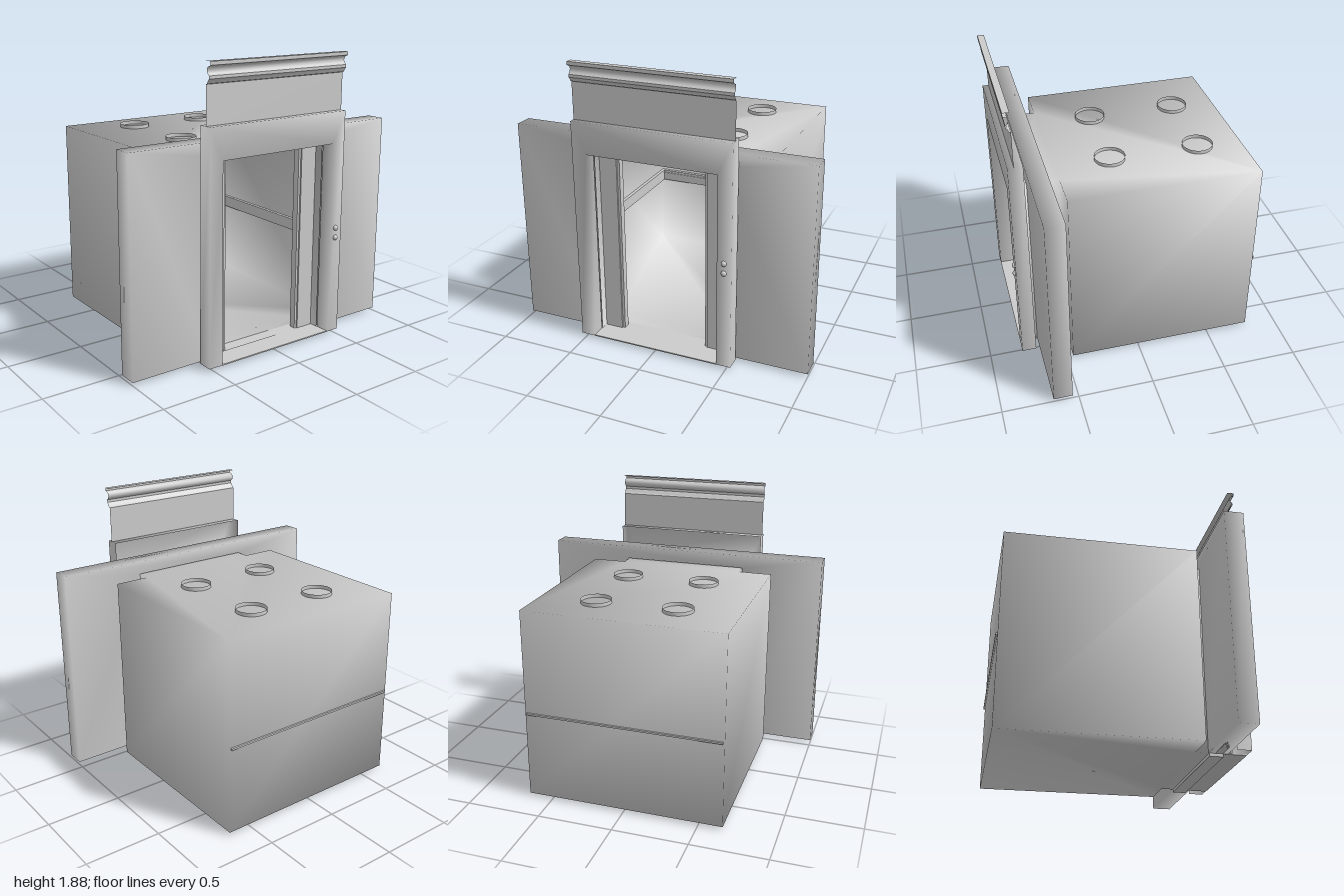
import * as THREE from 'three';
import { mergeGeometries, mergeVertices } from 'three/addons/utils/BufferGeometryUtils.js';

const grey = new THREE.MeshStandardMaterial({ color: 0xcccccc, side: THREE.DoubleSide });

// share corners so that shading runs smoothly over the edges
function smooth(geometry) {
  geometry.deleteAttribute('normal');
  geometry.deleteAttribute('uv');
  const merged = mergeVertices(geometry, 1e-4);
  merged.computeVertexNormals();
  return merged;
}

// skin over rows of [x, y, z] points
function skin(rows) {
  const n = rows[0].length, index = [];
  for (let i = 0; i < rows.length - 1; i++)
    for (let j = 0; j < n - 1; j++) {
      const a = i * n + j, b = a + n;
      index.push(a, b, b + 1, a, b + 1, a + 1);
    }
  const g = new THREE.BufferGeometry();
  g.setAttribute('position', new THREE.Float32BufferAttribute(rows.flat(2), 3));
  g.setIndex(index);
  g.computeVertexNormals();
  return g;
}

const shapeOf = pts => new THREE.Shape(pts.map(([x, y]) => new THREE.Vector2(x, y)));

export function createModel() {
  const model = new THREE.Group();
  const add = (name, geometry, x = 0, y = 0, z = 0) => {
    const mesh = new THREE.Mesh(geometry, grey);
    mesh.name = name;
    mesh.position.set(x, y, z);
    model.add(mesh);
    return mesh;
  };
  // box given by its lower and upper corners
  const box = (name, [x0, y0, z0], [x1, y1, z1]) =>
    add(name, new THREE.BoxGeometry(x1 - x0, y1 - y0, z1 - z0),
      (x0 + x1) / 2, (y0 + y1) / 2, (z0 + z1) / 2);

  // cabin shell with its entrance passage, open at the front
  const half = [[0.43, 0.69], [0.43, 0.46], [0.66, 0.46], [0.66, -0.785]];
  const plan = [...half, ...half.map(([x, z]) => [-x, z]).reverse()];
  const walls = skin(plan.map(([x, z]) => [[x, 0.02, z], [x, 1.305, z]]));
  const floor = new THREE.ShapeGeometry(shapeOf(plan)).rotateX(Math.PI / 2).translate(0, 0.02, 0);
  const roof = new THREE.ShapeGeometry(shapeOf(plan.map(([x, z]) => [x, -z])))
    .rotateX(-Math.PI / 2).translate(0, 1.305, 0);
  for (const g of [walls, floor, roof]) {
    g.deleteAttribute('normal');
    g.deleteAttribute('uv');
  }
  add('cabin', smooth(mergeGeometries([walls, floor, roof])));

  // handrail round the inside, with a thin rib showing through the back
  box('backRail', [-0.65, 0.55, -0.78], [0.65, 0.63, -0.755]);
  box('backRailRib', [-0.65, 0.6, -0.797], [0.65, 0.612, -0.75]);
  for (const s of [-1, 1]) {
    const x = s * 0.645;
    box('sideRail', [x - 0.012, 0.55, -0.78], [x + 0.012, 0.63, 0.45]);
  }

  // open light wells on the roof
  for (const x of [-0.27, 0.27])
    for (const z of [-0.49, 0.1])
      add('lightRing', new THREE.CylinderGeometry(0.1, 0.1, 0.025, 32, 1, true), x, 1.317, z);

  // landing wall with doorway
  const wall = shapeOf([[-1, 0.02], [-0.435, 0.02], [-0.435, 1.31], [0.435, 1.31],
    [0.435, 0.02], [1, 0.02], [1, 1.4], [-1, 1.4]]);
  add('landingWall', smooth(new THREE.ExtrudeGeometry(wall, { depth: 0.125, bevelEnabled: false })), 0, 0, 0.54);

  // hollow door frame, open at the back
  const section = [[0.53, 1.51, 0.69], [0.53, 1.51, 0.785], [0.435, 1.305, 0.785], [0.435, 1.305, 0.69]];
  const stations = [[-1, 0], [-1, 1], [1, 1], [1, 0]];
  add('doorFrame', smooth(skin(stations.map(([s, up]) =>
    section.map(([x, y, z]) => [s * x, up ? y : 0.02, z])))));

  // half-open sliding doors with edge strips
  for (const s of [-1, 1]) {
    const span = (a, b) => [Math.min(s * a, s * b), Math.max(s * a, s * b)];
    const [d0, d1] = span(0.31, 0.72);
    box('slidingDoor', [d0, 0.02, 0.57], [d1, 1.3, 0.63]);
    const [e0, e1] = span(0.293, 0.315);
    box('doorEdge', [e0, 0.02, 0.575], [e1, 1.3, 0.62]);
  }

  // threshold and sill
  box('threshold', [-0.435, 0, 0.545], [0.435, 0.022, 0.635]);
  box('sill', [-0.435, 0.018, 0.635], [0.435, 0.026, 0.785]);

  // upright fascia sheet with moulded cornice
  const sheet = (name, profile) =>
    add(name, skin([-0.53, 0.53].map(x => profile.map(([z, y]) => [x, y, z]))));
  sheet('fascia', [[0.745, 1.5], [0.745, 1.75]]);
  sheet('corniceLower', [[0.745, 1.75], [0.757, 1.755], [0.762, 1.768], [0.775, 1.782]]);
  sheet('corniceBead', [[0.775, 1.782], [0.775, 1.8]]);
  sheet('corniceCove', [[0.775, 1.8], [0.76, 1.812], [0.754, 1.83], [0.762, 1.848], [0.788, 1.86]]);
  sheet('corniceLip', [[0.788, 1.86], [0.788, 1.882]]);
  sheet('corniceTop', [[0.788, 1.882], [0.745, 1.882]]);

  // call buttons
  for (const y of [0.675, 0.74])
    add('callButton', new THREE.SphereGeometry(0.018, 20, 12), 0.48, y, 0.785).scale.z = 0.9;

  return model;
}
